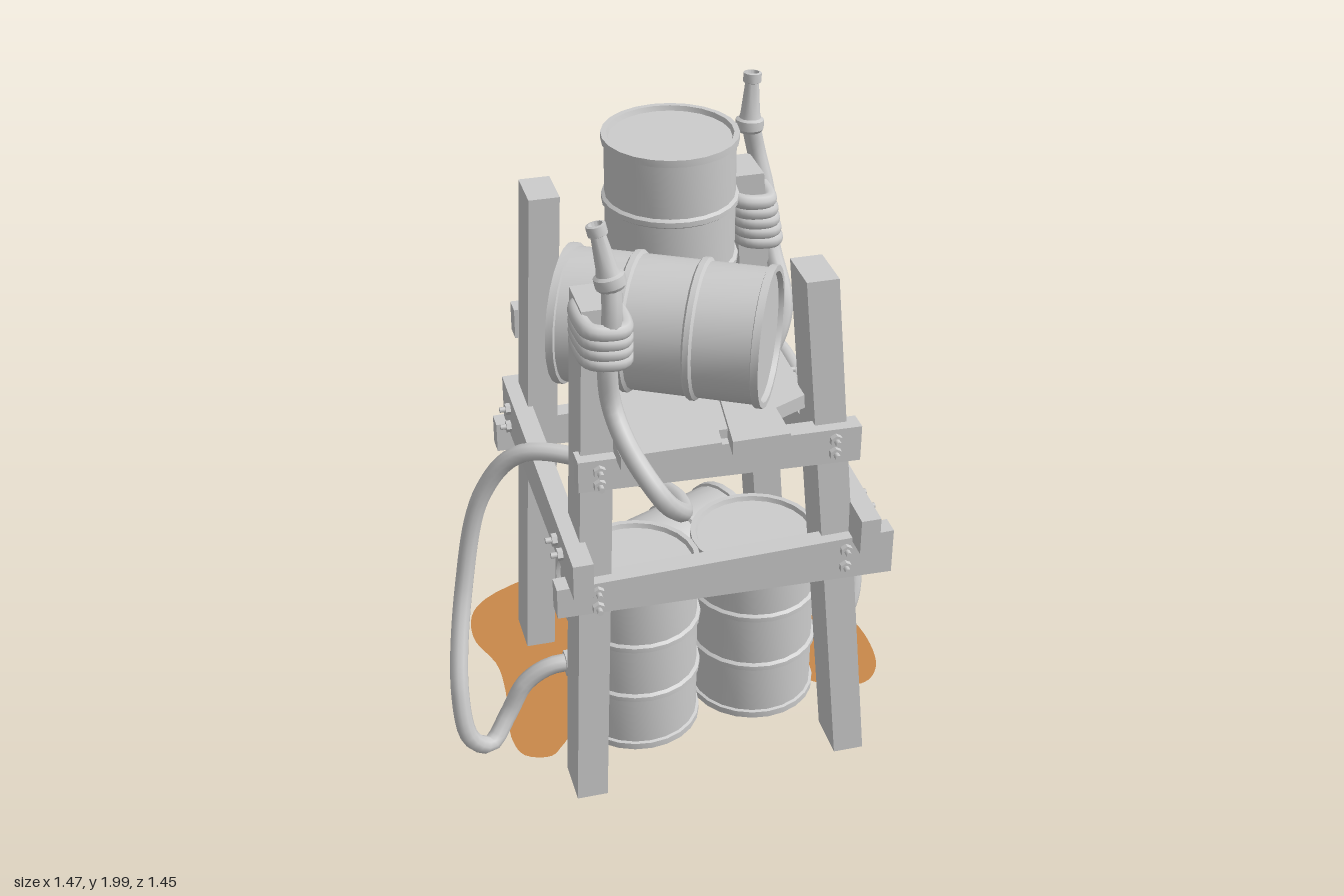
import * as THREE from 'three';
import { toCreasedNormals } from 'three/addons/utils/BufferGeometryUtils.js';

const grey = new THREE.MeshStandardMaterial({ color: 0xcccccc });
const rust = new THREE.MeshStandardMaterial({ color: 0xc8884a, side: THREE.DoubleSide });
const V = (x, y, z) => new THREE.Vector3(x, y, z);
const UP = V(0, 1, 0);

export function createModel() {
  const model = new THREE.Group();
  const add = (name, geometry, material = grey, parent = model) => {
    const mesh = new THREE.Mesh(geometry, material);
    mesh.name = name;
    parent.add(mesh);
    return mesh;
  };
  // Turn a part's own y axis along a direction
  const aim = (part, position, direction) => {
    part.position.copy(position);
    part.quaternion.setFromUnitVectors(UP, direction.clone().normalize());
    return part;
  };

  // Legs: boxes sheared so the frame narrows upwards
  const leg = (name, bottom, top) => {
    const geo = new THREE.BoxGeometry(0.095, 1, 0.15);
    const p = geo.attributes.position;
    for (let i = 0; i < p.count; i++) {
      const c = p.getY(i) > 0 ? top : bottom;
      p.setXYZ(i, p.getX(i) + c.x, c.y, p.getZ(i) + c.z);
    }
    geo.computeVertexNormals();
    add(name, geo);
  };
  for (const [side, x0, x1] of [['Right', -0.365, -0.3], ['Left', 0.47, 0.335]]) {
    leg('front' + side + 'Leg', V(x0, 0.064, 0.475), V(x1, 1.735, 0.4));
    leg('back' + side + 'Leg', V(x0, 0.064, -0.295), V(x1, 1.735, -0.295));
  }

  // Boards: slightly uneven quads [along, low, high], extruded to a thickness
  const prism = (points, depth) => new THREE.ExtrudeGeometry(
    new THREE.Shape(points.map(([a, b]) => new THREE.Vector2(a, b))), { depth, bevelEnabled: false });
  const board = (name, s, e) =>
    add(name, prism([[s[0], s[1]], [e[0], e[1]], [e[0], e[2]], [s[0], s[2]]], 0.06));
  for (const [side, zUpper, zLower] of [['front', 0.47, 0.488], ['back', -0.425, -0.425]]) {
    board(side + 'UpperBoard', [-0.38, 1.19, 1.29], [0.455, 1.16, 1.275]).position.z = zUpper;
    board(side + 'LowerBoard', [-0.455, 0.775, 0.875], [0.57, 0.75, 0.9]).position.z = zLower;
  }
  for (const [side, x] of [['left', 0.5], ['right', -0.36]]) {
    const b = board(side + 'SideBoard', [-0.415, 0.87, 1.025], [0.615, 0.885, 1.0]);
    b.rotation.y = -Math.PI / 2;
    b.position.x = x;
  }

  // Bolts: hexagonal nut with a protruding thread
  const nutGeo = toCreasedNormals(new THREE.CylinderGeometry(0.019, 0.019, 0.016, 6), 0.5);
  const threadGeo = new THREE.CylinderGeometry(0.009, 0.009, 0.034, 8);
  const bolt = (position, direction) => {
    const g = new THREE.Group();
    g.name = 'bolt';
    add('nut', nutGeo, grey, g).position.y = 0.008;
    add('thread', threadGeo, grey, g).position.y = 0.017;
    model.add(aim(g, position, direction));
  };
  const faceBolts = [[-0.335, 0.85, 0], [-0.335, 0.795, 0], [0.42, 0.86, 0], [0.42, 0.8, 0],
    [-0.32, 1.255, 1], [-0.32, 1.21, 1], [0.375, 1.245, 1], [0.375, 1.2, 1]];
  for (const [x, y, upper] of faceBolts) {
    bolt(V(x, y, upper ? 0.53 : 0.548), V(0, 0, 1));
    bolt(V(x, y, -0.425), V(0, 0, -1));
  }
  for (const [y, z] of [[0.945, 0.47], [0.945, 0.395], [0.975, -0.295], [0.91, -0.295]]) {
    bolt(V(0.5, y, z), V(1, 0, 0));
    bolt(V(-0.42, y, z), V(-1, 0, 0));
  }

  // Platform planks, outlined in x and -z
  const planks = [
    [[-0.27, -0.585], [0.02, -0.585], [0.16, 0.485], [-0.27, 0.485]],
    [[0.05, -0.59], [0.22, -0.59], [0.22, -0.45], [0.33, -0.4], [0.33, 0.485], [0.19, 0.485]],
    [[0.0, -0.5], [0.07, -0.5], [0.21, 0.45], [0.14, 0.45]],
  ];
  planks.forEach((outline, i) => {
    const m = add('platformPlank', prism(outline, i === 2 ? 0.03 : 0.045));
    m.rotation.x = -Math.PI / 2;
    m.position.y = 1.282;
  });

  // Barrels: half profile mirrored top to bottom, with recessed lids and two ribs
  const upper = [[0.196, 0.083], [0.206, 0.09], [0.206, 0.106], [0.196, 0.113], [0.196, 0.278],
    [0.205, 0.281], [0.205, 0.303], [0.188, 0.303], [0.183, 0.288], [0, 0.288]];
  const profile = [...upper.map(([r, y]) => [r, -y]).reverse(), ...upper];
  const barrelGeo = toCreasedNormals(
    new THREE.LatheGeometry(profile.map(([r, y]) => new THREE.Vector2(r, y)), 24), 0.6);
  const barrel = (name, position, axis = UP) => aim(add(name, barrelGeo), position, axis);
  barrel('lowerRightBarrel', V(-0.13, 0.358, 0.17));
  barrel('lowerLeftBarrel', V(0.275, 0.358, 0.12));
  barrel('fallenLowerBarrel', V(0.07, 0.26, -0.28), V(0.917, 0, -0.4));
  barrel('standingUpperBarrel', V(0.07, 1.633, -0.16));
  barrel('fallenUpperBarrel', V(-0.05, 1.532, 0.255), V(0.537, 0, 0.29));

  // Hoses
  const tube = (name, points, segments, r, closed = false) => add(name, new THREE.TubeGeometry(
    new THREE.CatmullRomCurve3(points.map((p) => V(...p)), closed, 'centripetal'), segments, r, 10, closed));
  const hoseA = [[-0.27, 1.84, 0.5], [-0.275, 1.74, 0.525], [-0.29, 1.58, 0.525], [-0.28, 1.46, 0.53],
    [-0.25, 1.36, 0.61], [-0.175, 1.235, 0.69], [-0.1, 1.13, 0.61], [-0.08, 1.06, 0.42], [-0.2, 1.035, 0.2],
    [-0.45, 1.03, 0.05], [-0.57, 0.87, 0], [-0.65, 0.55, 0.03], [-0.705, 0.25, 0.18], [-0.685, 0.09, 0.22],
    [-0.62, 0.036, 0.2], [-0.55, 0.11, 0.155], [-0.49, 0.22, 0.15], [-0.41, 0.28, 0.16], [-0.31, 0.29, 0.17]];
  const hoseB = [[0.383, 1.84, -0.375], [0.405, 1.74, -0.375], [0.425, 1.62, -0.33], [0.425, 1.47, -0.26],
    [0.435, 1.31, -0.14], [0.38, 1.17, -0.11], [0.345, 1.09, -0.2], [0.4, 1.05, -0.38], [0.52, 0.98, -0.47],
    [0.61, 0.82, -0.43], [0.68, 0.6, -0.31], [0.71, 0.4, -0.17], [0.69, 0.16, -0.07], [0.6, 0.055, -0.04],
    [0.52, 0.11, -0.03], [0.465, 0.25, -0.01], [0.4, 0.32, 0.04]];
  tube('rightHose', hoseA, 110, 0.029);
  tube('leftHose', hoseB, 110, 0.029);

  // Hose coils wound round the leg tops
  const coil = (name, x, z, y0, count, step, lean) => {
    for (let i = 0; i < count; i++) {
      const w = 0.052, d = 0.086, c = 0.02, y = y0 + i * step;
      const ring = [[w, d - c], [w - c, d], [c - w, d], [-w, d - c], [-w, c - d], [c - w, -d], [w - c, -d], [w, c - d]];
      tube(name, ring.map(([a, b]) => [x + a + lean * (count / 2 - i), y - a * 0.1, z + b]), 40, 0.024, true);
    }
  };
  coil('rightHoseCoil', -0.29, 0.45, 1.605, 4, 0.031, 0);
  coil('leftHoseCoil', 0.36, -0.29, 1.515, 5, 0.034, 0.006);

  // Nozzles: collar, tapering barrel and tip ring
  const nozzleProfile = [[0, -0.01], [0.036, -0.01], [0.044, 0], [0.044, 0.028], [0.034, 0.034], [0.03, 0.05],
    [0.021, 0.145], [0.028, 0.148], [0.028, 0.176], [0.02, 0.178], [0.016, 0.16], [0, 0.16]];
  const nozzleGeo = toCreasedNormals(
    new THREE.LatheGeometry(nozzleProfile.map(([r, y]) => new THREE.Vector2(r, y)), 14), 0.6);
  aim(add('rightNozzle', nozzleGeo), V(-0.27, 1.82, 0.5), V(-0.035, 0.175, -0.025));
  aim(add('leftNozzle', nozzleGeo), V(0.38, 1.82, -0.372), V(0.01, 0.175, -0.012));

  // Fittings where the hoses enter the barrels
  const fittingGeo = toCreasedNormals(new THREE.CylinderGeometry(0.042, 0.042, 0.035, 6), 0.5);
  aim(add('rightHoseFitting', fittingGeo), V(-0.345, 0.288, 0.168), V(-1, 0, 0));
  aim(add('leftHoseFitting', fittingGeo), V(0.435, 0.29, 0.015), V(0.8, -0.4, -0.4));

  // Spilled puddles, outlined in x and z
  const puddle = (name, outline) => {
    const curve = new THREE.CatmullRomCurve3(outline.map(([x, z]) => V(x, -z, 0)), true);
    const shape = new THREE.Shape(curve.getPoints(70).map((p) => new THREE.Vector2(p.x, p.y)));
    const m = add(name, new THREE.ShapeGeometry(shape), rust);
    m.rotation.x = -Math.PI / 2;
    m.position.y = 0.06;
  };
  puddle('largePuddle', [[0, -0.73], [0.12, -0.7], [0.21, -0.57], [0.24, -0.35], [0.15, -0.08], [-0.08, 0.02],
    [-0.28, 0.15], [-0.4, 0.29], [-0.45, 0.335], [-0.53, 0.31], [-0.555, 0.22], [-0.53, 0], [-0.53, -0.155],
    [-0.58, -0.31], [-0.56, -0.45], [-0.49, -0.53], [-0.27, -0.63], [-0.12, -0.7]]);
  puddle('smallPuddle', [[0.3, -0.13], [0.4, -0.2], [0.5, -0.17], [0.6, -0.13], [0.69, -0.1], [0.72, 0],
    [0.7, 0.18], [0.63, 0.25], [0.5, 0.22], [0.4, 0.13], [0.32, 0.02]]);

  return model;
}
